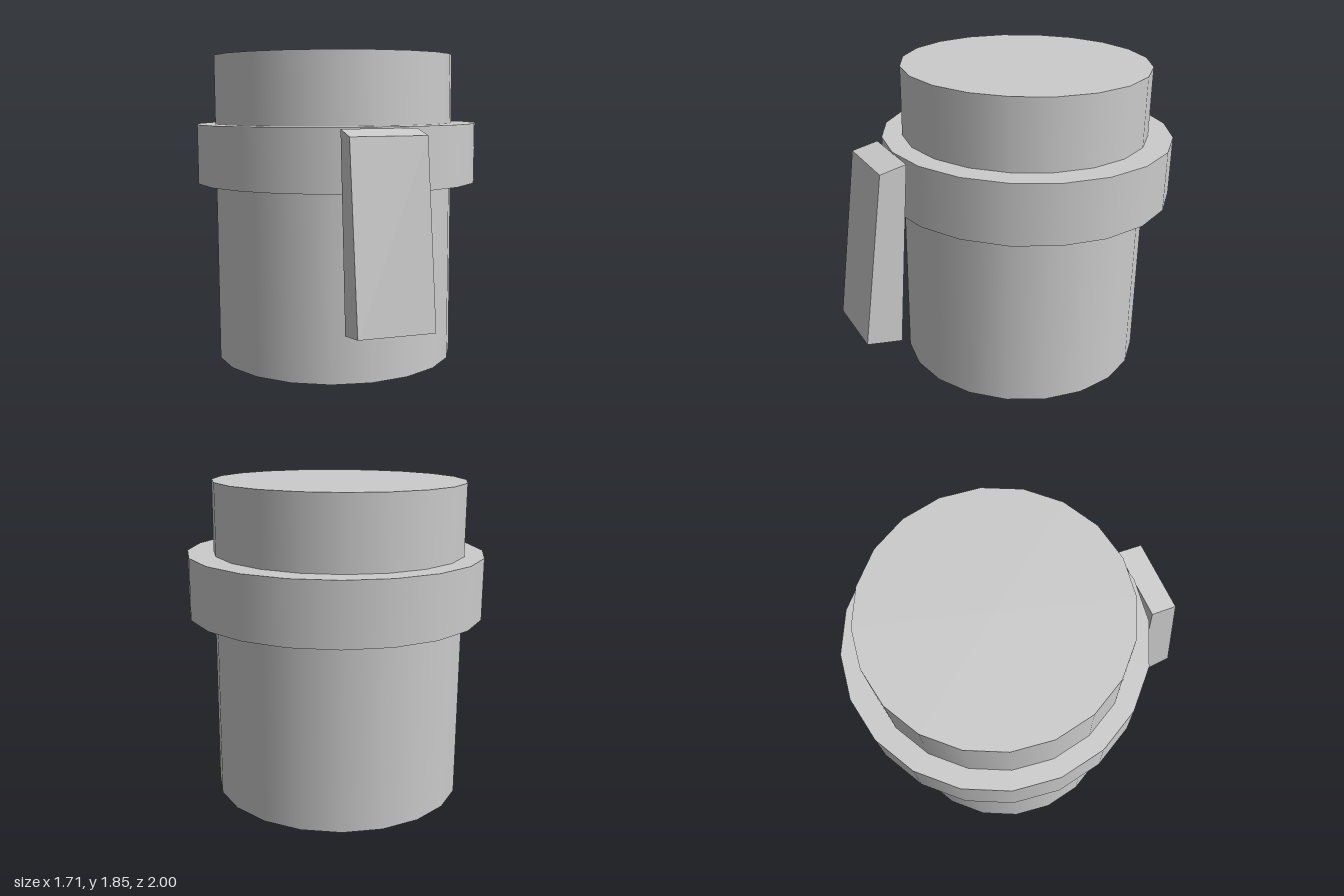
import * as THREE from 'three';

export function createModel() {
  const group = new THREE.Group();
  const material = new THREE.MeshStandardMaterial({ color: 0xcccccc });
  const lean = -0.015;

  // Twenty-sided drum, leaning slightly to the back
  function drum(name, radius, height, x, y, z) {
    const mesh = new THREE.Mesh(new THREE.CylinderGeometry(radius, radius, height, 20), material);
    mesh.name = name;
    mesh.position.set(x, y, z);
    mesh.rotation.x = lean;
    group.add(mesh);
  }
  drum('body', 0.728, 1.833, -0.022, 0.93, -0.135);
  drum('collar', 0.857, 0.352, 0, 1.264, -0.143);

  // Tapered handle hanging from the front of the collar; profile is (z, y)
  const profile = new THREE.Shape([
    [0.79, 0.365], [1.0, 0.403], [0.86, 1.412], [0.708, 1.444],
  ].map(([z, y]) => new THREE.Vector2(z, y)));
  const geometry = new THREE.ExtrudeGeometry(profile, { depth: 0.425, bevelEnabled: false });
  geometry.rotateY(-Math.PI / 2).translate(0.19, 0, 0);
  const handle = new THREE.Mesh(geometry, material);
  handle.name = 'handle';
  group.add(handle);

  return group;
}
